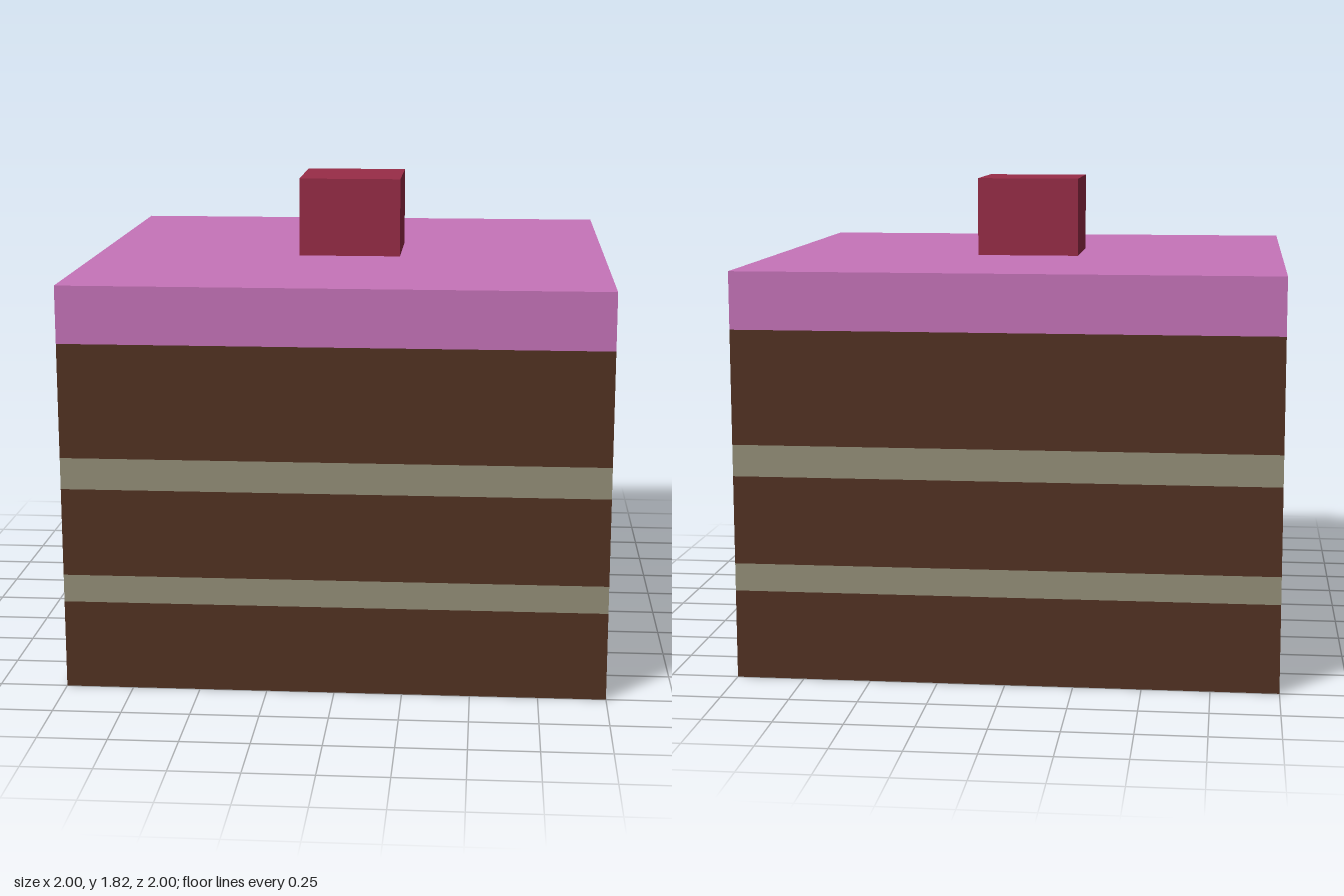
import * as THREE from 'three';

const material = (name, color) => {
  const m = new THREE.MeshStandardMaterial({ color });
  m.name = name;
  return m;
};

export function createModel() {
  const sponge = material('chocolate brown', 0x533323);
  const cream = material('cream', 0x959079);
  const icing = material('pink icing', 0xc774ba);
  const cherry = material('cherry red', 0x992d48);

  const cake = new THREE.Group();
  cake.name = 'layerCake';

  // Stacked blocks: name, material, width, bottom, top
  const layers = [
    ['bottomSponge', sponge, 2, 0, 0.33],
    ['lowerCream', cream, 2, 0.33, 0.433],
    ['middleSponge', sponge, 2, 0.433, 0.76],
    ['upperCream', cream, 2, 0.76, 0.877],
    ['topSponge', sponge, 2, 0.877, 1.3],
    ['icing', icing, 2, 1.3, 1.512],
    ['cherry', cherry, 0.396, 1.512, 1.815],
  ];
  for (const [name, mat, width, bottom, top] of layers) {
    const mesh = new THREE.Mesh(new THREE.BoxGeometry(width, top - bottom, width), mat);
    mesh.name = name;
    mesh.position.y = (bottom + top) / 2;
    cake.add(mesh);
  }
  return cake;
}
